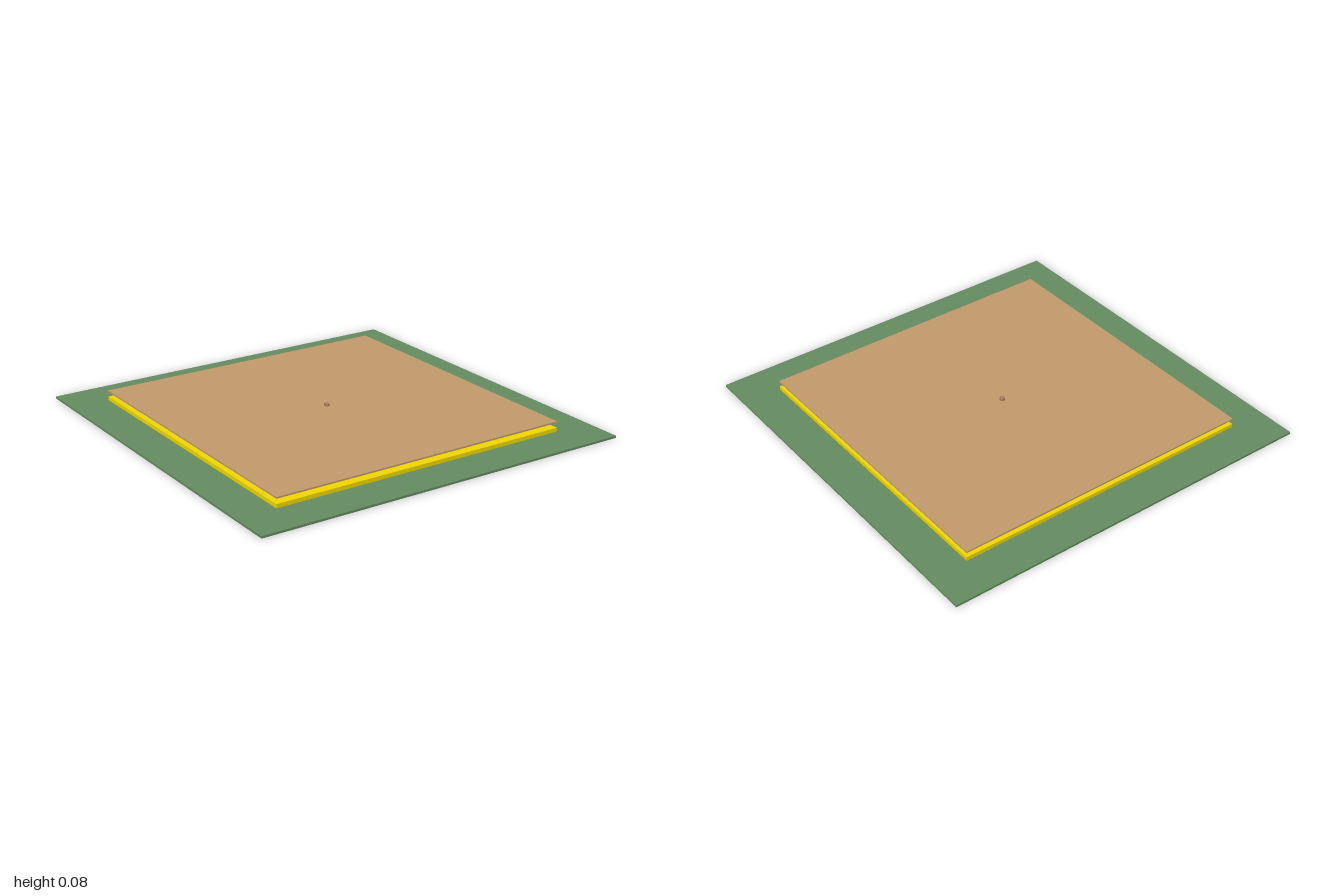
import * as THREE from 'three';

export function createModel() {
  const model = new THREE.Group();

  const add = (name, geometry, color, bottom, height) => {
    const mesh = new THREE.Mesh(geometry, new THREE.MeshStandardMaterial({ color }));
    mesh.name = name;
    mesh.position.y = bottom + height / 2;
    model.add(mesh);
  };
  const slab = (name, size, bottom, height, color) =>
    add(name, new THREE.BoxGeometry(size, height, size), color, bottom, height);

  // Thin ground sheet, the raised base on it and the board floating above
  slab('groundSheet', 2, 0, 0.011, 0x658c5f);
  slab('basePlate', 1.6, 0.011, 0.02, 0xf0d800);
  slab('topBoard', 1.6, 0.056, 0.008, 0xc19a6b);

  // Central pin that carries the board and pokes out just above it
  add('centrePin', new THREE.CylinderGeometry(0.0135, 0.0135, 0.044, 16), 0xa67b5b, 0.031, 0.044);

  return model;
}
